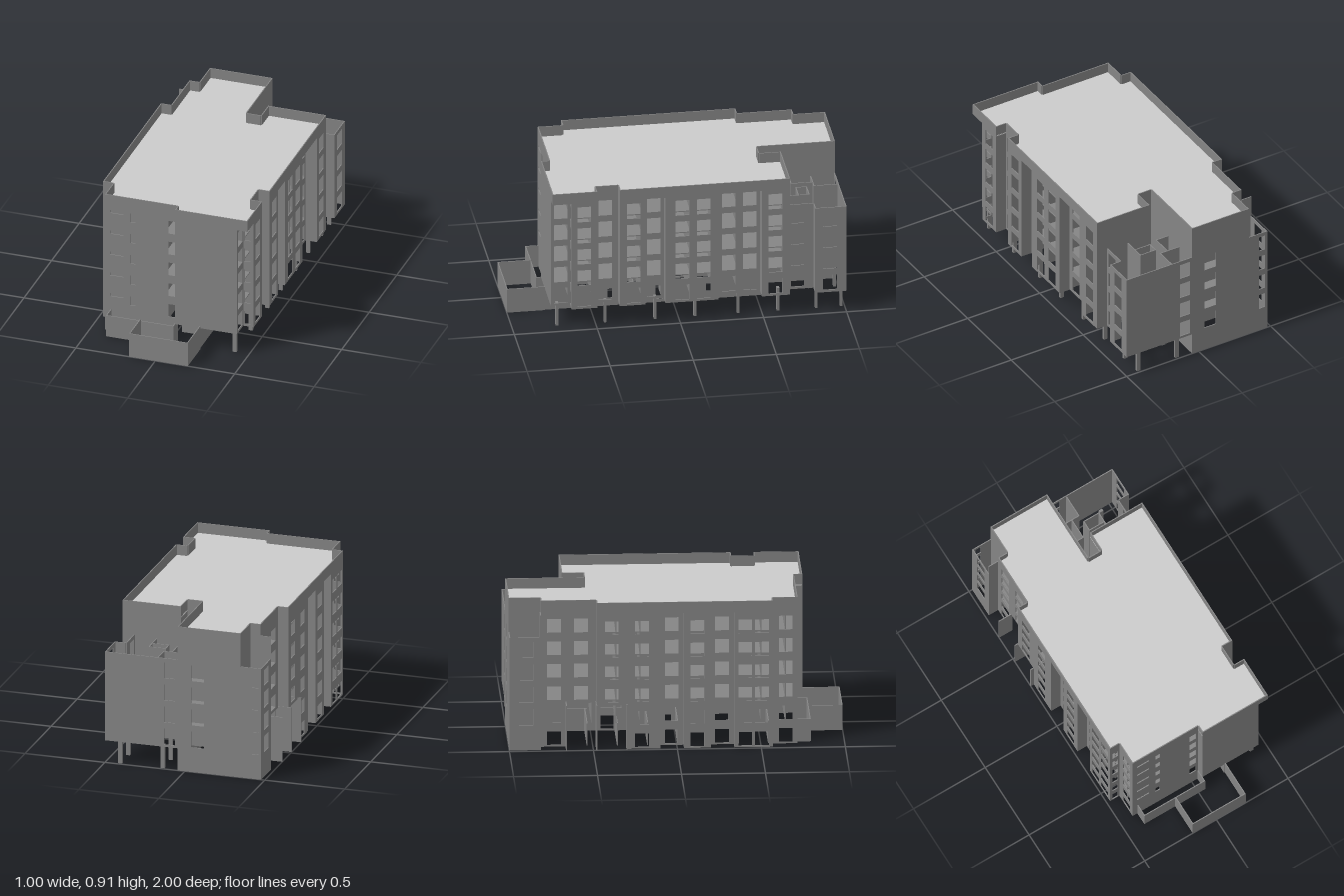
import * as THREE from 'three';

const T = 0.006; // wall thickness
const B = 0.14; // storey height and underside of the raised storeys
const E = 0.5; // outer plane of the long left side
const W = -0.478; // outer plane of the long right side
const wallMat = new THREE.MeshStandardMaterial({ color: 0x858585, flatShading: true });
const roofMat = new THREE.MeshStandardMaterial({ color: 0xcccccc, flatShading: true });

// [bottom, top] of an opening, repeated on n storeys
const rows = (a, b, n = 5) => Array.from({ length: n }, (_, k) => [a + B * k, b + B * k]);
const SIDE = rows(0.155, 0.255);
const FRONT = rows(0.155, 0.24);
const LEFT = rows(0.01, 0.095, 6);

// Opening set: storey rows, width, centres along the wall in world x or z
const openings = (levels, width, ...centres) => ({ levels, width, centres });

// Wall between two plan points; its outside lies to the right of travel
function wall(parent, name, [x0, z0], [x1, z1], y0, y1, sets = []) {
  const dx = x1 - x0, dz = z1 - z0, len = Math.hypot(dx, dz);
  const start = Math.abs(dx) > Math.abs(dz) ? x0 : z0;
  const shape = new THREE.Shape();
  shape.moveTo(0, y0).lineTo(len, y0).lineTo(len, y1).lineTo(0, y1).closePath();
  for (const { levels, width, centres } of sets) {
    for (const c of centres) {
      const a = Math.abs(c - start) - width / 2, b = a + width;
      for (const [lo, hi] of levels) {
        if (lo < y0 || hi > y1) continue;
        const hole = new THREE.Path();
        hole.moveTo(a, lo).lineTo(a, hi).lineTo(b, hi).lineTo(b, lo).closePath();
        shape.holes.push(hole);
      }
    }
  }
  const geo = new THREE.ExtrudeGeometry(shape, { depth: T, bevelEnabled: false });
  geo.translate(0, 0, -T);
  const mesh = new THREE.Mesh(geo, wallMat);
  mesh.name = name;
  mesh.position.set(x0, 0, z0);
  mesh.rotation.y = Math.atan2(-dz, dx);
  parent.add(mesh);
}

// Walls joining successive points; windows maps a wall's index to its opening sets
function chain(parent, name, pts, y0, y1, windows = {}) {
  for (let i = 0; i + 1 < pts.length; i++) wall(parent, name, pts[i], pts[i + 1], y0, y1, windows[i]);
}

// Long facade of flush and recessed bays: [end z, recessed, bottom, window centres...]
function bayFacade(parent, name, z, xFlush, xRecess, levels, bays) {
  let x = xFlush;
  for (const [end, recessed, y0, ...centres] of bays) {
    const next = recessed ? xRecess : xFlush;
    if (next !== x) wall(parent, name + 'Return', [x, z], [next, z], y0, 0.84);
    wall(parent, name, [next, z], [next, end], y0, 0.84, [openings(levels, 0.082, ...centres)]);
    x = next;
    z = end;
  }
}

function box(parent, name, x, z, w, h, d) {
  const mesh = new THREE.Mesh(new THREE.BoxGeometry(w, h, d), wallMat);
  mesh.name = name;
  mesh.position.set(x, h / 2, z);
  parent.add(mesh);
}

// Horizontal plate over a plan outline
function slab(parent, name, pts, y, material) {
  const shape = new THREE.Shape(pts.map(([x, z]) => new THREE.Vector2(x, -z)));
  const geo = new THREE.ExtrudeGeometry(shape, { depth: 0.006, bevelEnabled: false });
  geo.rotateX(-Math.PI / 2);
  const mesh = new THREE.Mesh(geo, material);
  mesh.name = name;
  mesh.position.y = y;
  parent.add(mesh);
}

export function createModel() {
  const model = new THREE.Group();
  const group = (name) => {
    const g = new THREE.Group();
    g.name = name;
    model.add(g);
    return g;
  };

  // Roof plan, counter-clockwise from above
  const plan = [
    [-0.413, 0.72], [0.045, 0.72], [0.045, 0.77], [E, 0.77], [E, 0.5], [0.43, 0.5],
    [0.43, 0.365], [E, 0.365], [E, -0.66], [0.135, -0.66], [0.135, -0.53],
    [0.045, -0.53], [0.045, -1], [-0.35, -1], [-0.35, -0.81], [-0.413, -0.81],
    [-0.413, -0.48], [W, -0.48], [W, 0.57], [-0.413, 0.57],
  ];

  // Flat roof and parapet
  chain(group('parapet'), 'parapetWall', [...plan, plan[0]], 0.84, 0.91);
  slab(model, 'roof', plan.map(([x, z]) => [x * 0.994, z * 0.997]), 0.84, roofMat);

  // Floors, kept behind the recessed bays
  const floors = group('floors');
  const floorPlan = plan
    .map(([x, z]) => [Math.min(Math.max(x, -0.405), 0.424), z * 0.99])
    .filter(([x, z], i, all) => i === 0 || x !== all[i - 1][0] || z !== all[i - 1][1]);
  for (let k = 2; k <= 5; k++) slab(floors, 'floor', floorPlan, B * k, wallMat);

  // Room dividers and corridor walls of the upper storeys
  const rooms = group('rooms');
  for (let i = 0; i < 9; i++) {
    const z = 0.65 - 0.144 * i;
    wall(rooms, 'roomDivider', [0.1, z], [0.424, z], B, 0.84);
    wall(rooms, 'roomDivider', [-0.405, z], [-0.05, z], B, 0.84);
  }
  wall(rooms, 'corridorWall', [0.1, 0.7], [0.1, -0.52], B, 0.84);
  wall(rooms, 'corridorWall', [-0.05, -0.92], [-0.05, 0.65], B, 0.84);
  wall(rooms, 'roomDivider', [-0.34, -0.92], [0.04, -0.92], B, 0.84);

  // Front walls and the recessed front corner
  const facades = group('facades');
  chain(facades, 'frontWall', plan.slice(0, 2), 0, 0.84, {
    0: [openings(FRONT, 0.045, 0.008), openings(rows(0.19, 0.25), 0.03, -0.237),
      openings(rows(0.23, 0.25), 0.083, -0.34)],
  });
  chain(facades, 'frontCornerWall', [plan[1], plan[2], [0.435, 0.77], [0.435, 0.655], [E, 0.655]], B, 0.84, {
    2: [openings(SIDE, 0.08, 0.71)], 3: [openings(FRONT, 0.038, 0.462)],
  });

  // Long sides
  bayFacade(facades, 'leftFacade', 0.655, E, 0.43, SIDE, [
    [0.5, 0, B, 0.58], [0.365, 1, B, 0.442], [0.21, 0, B, 0.282], [0.09, 1, B, 0.15],
    [-0.23, 0, B, -0.012, -0.14], [-0.49, 1, B, -0.302, -0.428], [-0.66, 0, B, -0.572],
  ]);
  bayFacade(facades, 'rightFacade', -0.81, W, -0.413, LEFT, [
    [-0.66, 1, 0, -0.73], [-0.48, 1, 0.27, -0.57], [-0.3, 0, 0.27, -0.39], [-0.1, 0, 0, -0.21],
    [0.04, 1, 0, -0.03], [0.2, 0, 0, 0.12], [0.34, 1, 0, 0.27], [0.57, 0, 0, 0.405, 0.505],
  ]);
  chain(facades, 'rightCornerWall', [plan[18], plan[19], plan[0]], 0, 0.84, {
    0: [openings(LEFT, 0.04, -0.442)], 1: [openings(LEFT, 0.08, 0.65)],
  });

  // Back walls
  chain(facades, 'backNotchWall', plan.slice(8, 12), B, 0.84);
  chain(facades, 'backWall', plan.slice(11, 16), 0, 0.84, { 1: [openings(SIDE.slice(0, 4), 0.08, -0.08)] });

  // Lower open-topped wings at the back corners
  const wings = group('backWings');
  chain(wings, 'leftWingWall', [[0.43, -0.66], [0.43, -0.81], [E, -0.81], [E, -1], [0.045, -1]], B, 0.7, {
    0: [openings(SIDE, 0.08, -0.715)], 2: [openings(SIDE, 0.085, -0.9)], 3: [openings(SIDE, 0.07, 0.095)],
  });
  chain(wings, 'rightWingWall', [plan[13], [W, -1], [W, -0.81], plan[15]], 0, 0.7, {
    0: [openings(SIDE, 0.04, -0.44)], 1: [openings(SIDE, 0.085, -0.9)],
  });
  for (const path of [
    [[0.045, -0.85], [0.18, -0.85], [0.18, -1]],
    [[0.045, -0.72], [0.13, -0.72], [0.13, -0.85]],
    [[0.29, -0.66], [0.29, -0.81], [0.18, -0.81], [0.18, -0.74], [0.29, -0.74]],
  ]) chain(wings, 'wingPartition', path, B, 0.69);

  // Ground floor: corridor wall, inner wall, cross walls and columns
  const ground = group('groundFloor');
  wall(ground, 'groundCorridorWall', [0.2, 0.77], [0.2, -0.53], 0, B,
    [openings([[0.05, 0.11]], 0.05, 0.367, -0.225), openings([[0.02, 0.11]], 0.05, 0.078)]);
  wall(ground, 'innerWall', [-0.1, 0.6], [-0.1, -0.85], 0, B,
    [openings([[0.01, 0.11]], 0.08, 0.28, -0.06, -0.4)]);
  for (let i = 0; i < 7; i++) {
    const z = 0.55 - 0.18 * i;
    wall(ground, 'crossWall', [-0.405, z], [-0.1, z], 0, B);
    wall(ground, 'shortCrossWall', [0.03, z + 0.05], [0.2, z + 0.05], 0, B);
  }
  for (const z of [0.73, 0.44, 0.14, -0.1, -0.36, -0.6, -0.83, -0.98]) {
    box(ground, 'column', 0.408, z, 0.025, 0.15, 0.016);
    if (z < -0.8) box(ground, 'column', 0.143, z, 0.025, 0.15, 0.016);
  }

  // Fins flanking the open ground-floor bays
  for (const z of [-0.66, -0.48, -0.3]) box(ground, 'bayFin', -0.453, z, 0.094, 0.28, 0.006);

  // Open-topped enclosures at the front
  const yards = group('frontYards');
  chain(yards, 'lowYardWall', [[-0.38, 0.72], [-0.38, 0.8], [0.045, 0.8], [0.045, 0.72]], 0, B);
  chain(yards, 'yardWall', [[-0.165, 0.8], [-0.165, 1], [0.205, 1], [0.205, 0.77]], 0, 0.155);

  return model;
}
